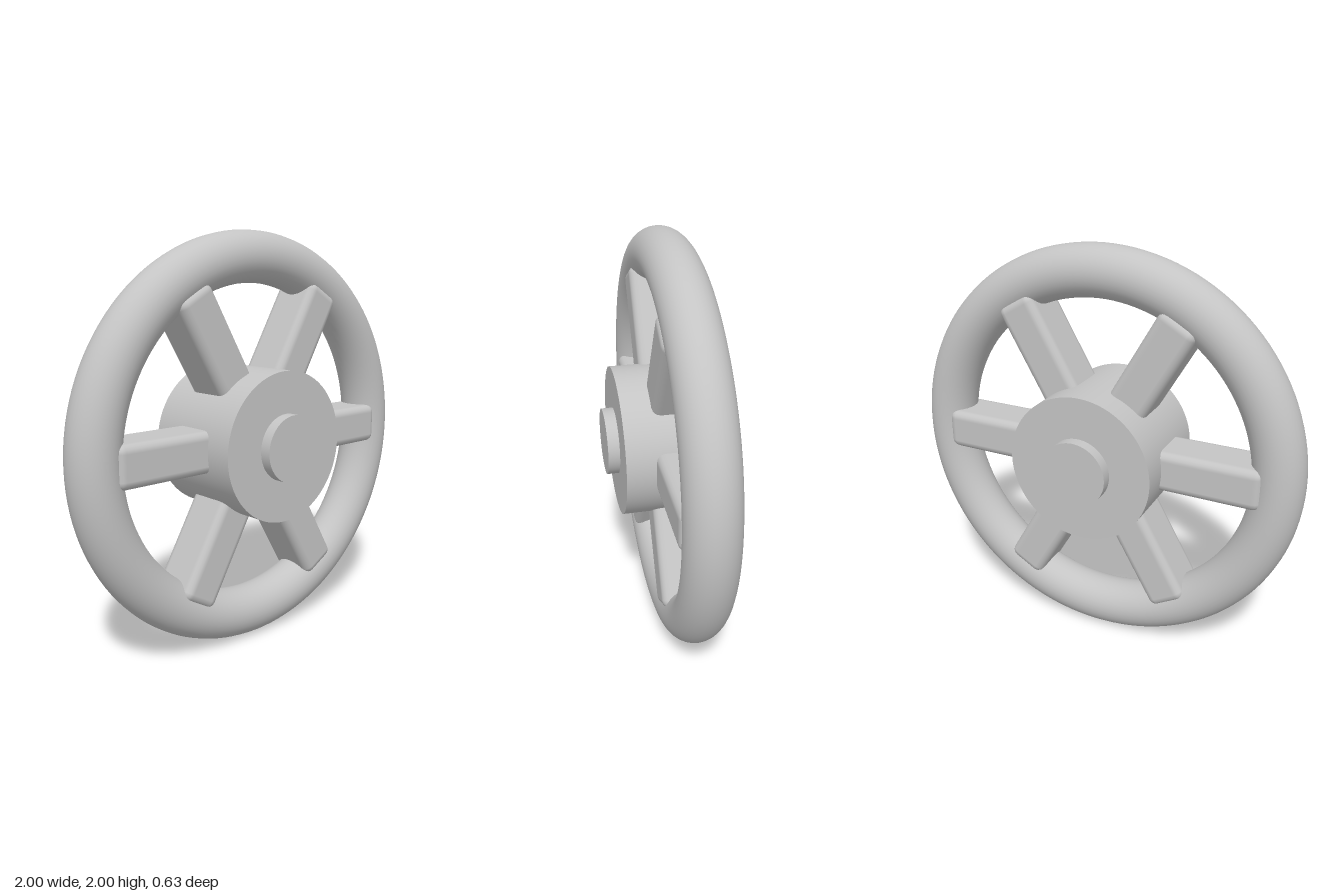
import * as THREE from 'three';
import { RoundedBoxGeometry } from 'three/addons/geometries/RoundedBoxGeometry.js';

export function createModel() {
  const model = new THREE.Group();
  model.name = 'wheel';
  const grey = new THREE.MeshStandardMaterial({ color: 0xc4c4c4 });
  grey.name = 'grey';

  const add = (name, geometry, parent = model) => {
    const mesh = new THREE.Mesh(geometry, grey);
    mesh.name = name;
    parent.add(mesh);
    return mesh;
  };

  // Round rim, standing upright in the xy plane
  add('rim', new THREE.TorusGeometry(0.878, 0.122, 32, 128)).position.y = 1;

  // Hub drum and the axle passing through it, both along z
  const drum = (name, radius, length) => {
    const geometry = new THREE.CylinderGeometry(radius, radius, length, 96);
    geometry.rotateX(Math.PI / 2);
    add(name, geometry).position.y = 1;
  };
  drum('hub', 0.36, 0.52);
  drum('axle', 0.16, 0.63);

  // Six soft-edged spokes from inside the hub into the rim
  const inner = 0.2, outer = 0.83;
  const spokeGeometry = new RoundedBoxGeometry(outer - inner, 0.2, 0.244, 2, 0.04);
  spokeGeometry.translate((inner + outer) / 2, 0, 0);
  const spokes = new THREE.Group();
  spokes.name = 'spokes';
  spokes.position.y = 1;
  model.add(spokes);
  for (let i = 0; i < 6; i++) {
    add(`spoke${i + 1}`, spokeGeometry, spokes).rotation.z = (i * Math.PI) / 3;
  }

  return model;
}
